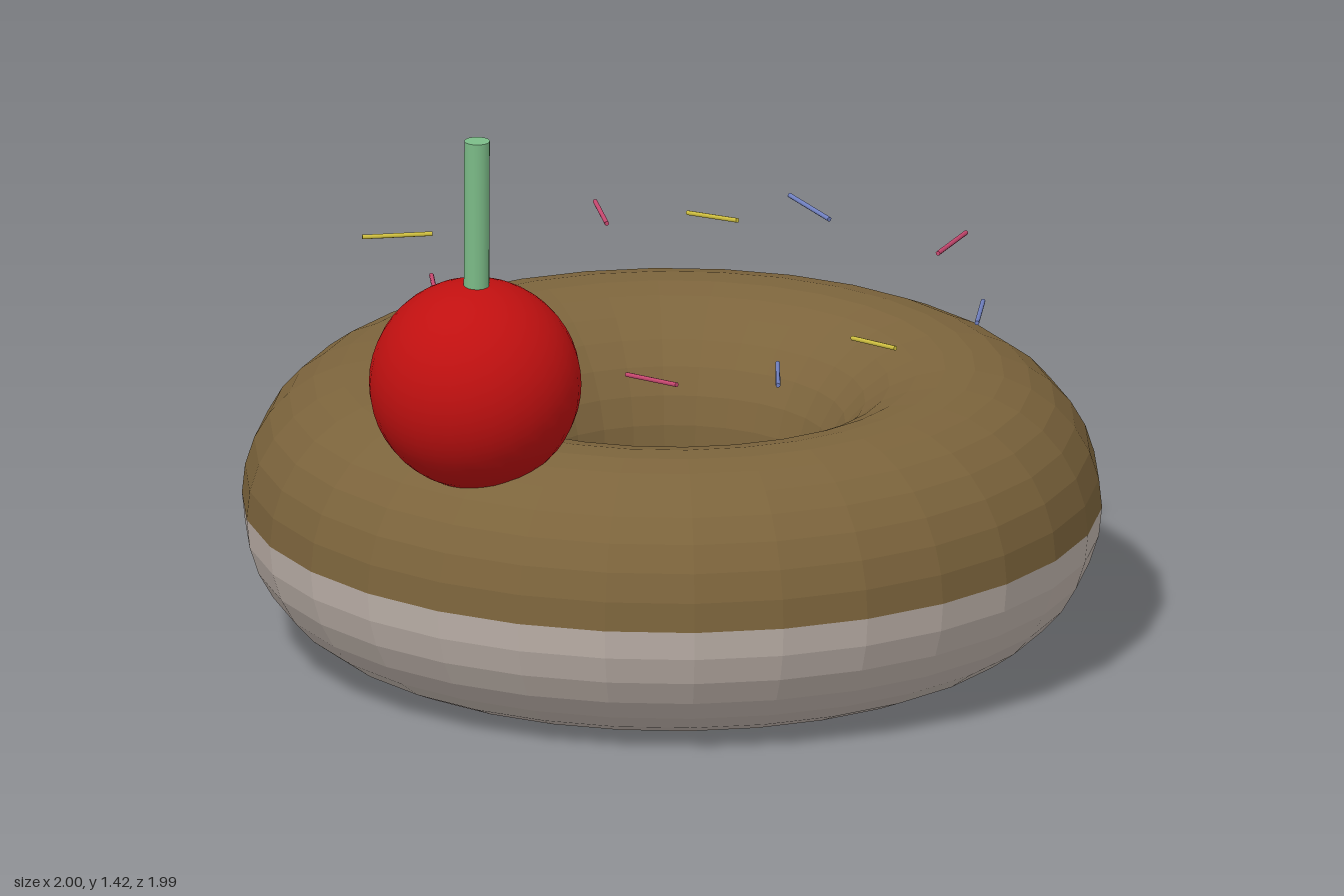
import * as THREE from 'three';

const RING = 0.67, TUBE = 0.33, MID = 0.342;

function add(parent, name, geometry, color, options = {}) {
  const mesh = new THREE.Mesh(geometry, new THREE.MeshStandardMaterial({ color, ...options }));
  mesh.name = name;
  parent.add(mesh);
  return mesh;
}

// Half of a faceted ring, its tube section swept from angle `start` by 180 degrees
function halfRing(start) {
  const points = [];
  for (let i = 0; i <= 15; i++) {
    const a = start + (i / 15) * Math.PI;
    points.push(new THREE.Vector2(RING + TUBE * Math.cos(a), TUBE * Math.sin(a)));
  }
  return new THREE.LatheGeometry(points, 30, Math.PI / 2);
}

// Thin rod between two points
function rod(parent, name, from, to, radius, sides, color, options) {
  const a = new THREE.Vector3(...from), b = new THREE.Vector3(...to);
  const dir = b.clone().sub(a);
  const mesh = add(parent, name, new THREE.CylinderGeometry(radius, radius, dir.length(), sides), color, options);
  mesh.position.copy(a).add(b).multiplyScalar(0.5);
  mesh.quaternion.setFromUnitVectors(new THREE.Vector3(0, 1, 0), dir.normalize());
  return mesh;
}

export function createModel() {
  const model = new THREE.Group();
  model.name = 'donut';

  // Ring: icing above, dough below, leaning slightly forward
  const ring = new THREE.Group();
  ring.name = 'ring';
  ring.position.y = MID;
  ring.rotation.x = 0.0125;
  model.add(ring);
  const faceted = { flatShading: true, side: THREE.DoubleSide };
  add(ring, 'icing', halfRing(0), 0x7c643c, faceted);
  add(ring, 'dough', halfRing(Math.PI), 0xc0b4ac, faceted);

  // Cherry with its stem
  const cherry = add(model, 'cherry', new THREE.SphereGeometry(0.247, 32, 24), 0xc01010);
  cherry.position.set(-0.55, 0.823, 0.55);
  rod(model, 'cherryStem', [-0.55, 1.0, 0.568], [-0.55, 1.42, 0.578], 0.03, 16, 0x7cbc88);

  // Sprinkles hovering over the icing
  const pink = 0xc84870, yellow = 0xd0c040, blue = 0x7080c0;
  const sprinkles = [
    [yellow, [-0.63, 0.82, -0.62], [-0.465, 0.82, -0.62]],
    [pink, [-0.065, 0.845, -0.73], [-0.065, 0.845, -0.555]],
    [yellow, [0.14, 0.832, -0.65], [0.235, 0.852, -0.51]],
    [blue, [0.385, 0.852, -0.685], [0.455, 0.836, -0.535]],
    [pink, [0.73, 0.88, -0.245], [0.64, 0.88, -0.095]],
    [blue, [0.71, 0.832, 0.135], [0.67, 0.83, 0.295]],
    [yellow, [0.37, 0.822, 0.34], [0.45, 0.835, 0.475]],
    [blue, [0.165, 0.828, 0.525], [0.14, 0.826, 0.69]],
    [pink, [-0.19, 0.818, 0.525], [-0.095, 0.833, 0.67]],
    [yellow, [-0.58, 0.832, 0.1], [-0.58, 0.83, 0.27]],
    [blue, [-0.46, 0.876, 0.04 - 0.08], [-0.565, 0.876, 0.09]],
    [pink, [-0.525, 0.835, -0.255], [-0.54, 0.833, -0.09]],
  ];
  const group = new THREE.Group();
  group.name = 'sprinkles';
  model.add(group);
  for (const [color, from, to] of sprinkles) rod(group, 'sprinkle', from, to, 0.0055, 8, color);

  return model;
}
